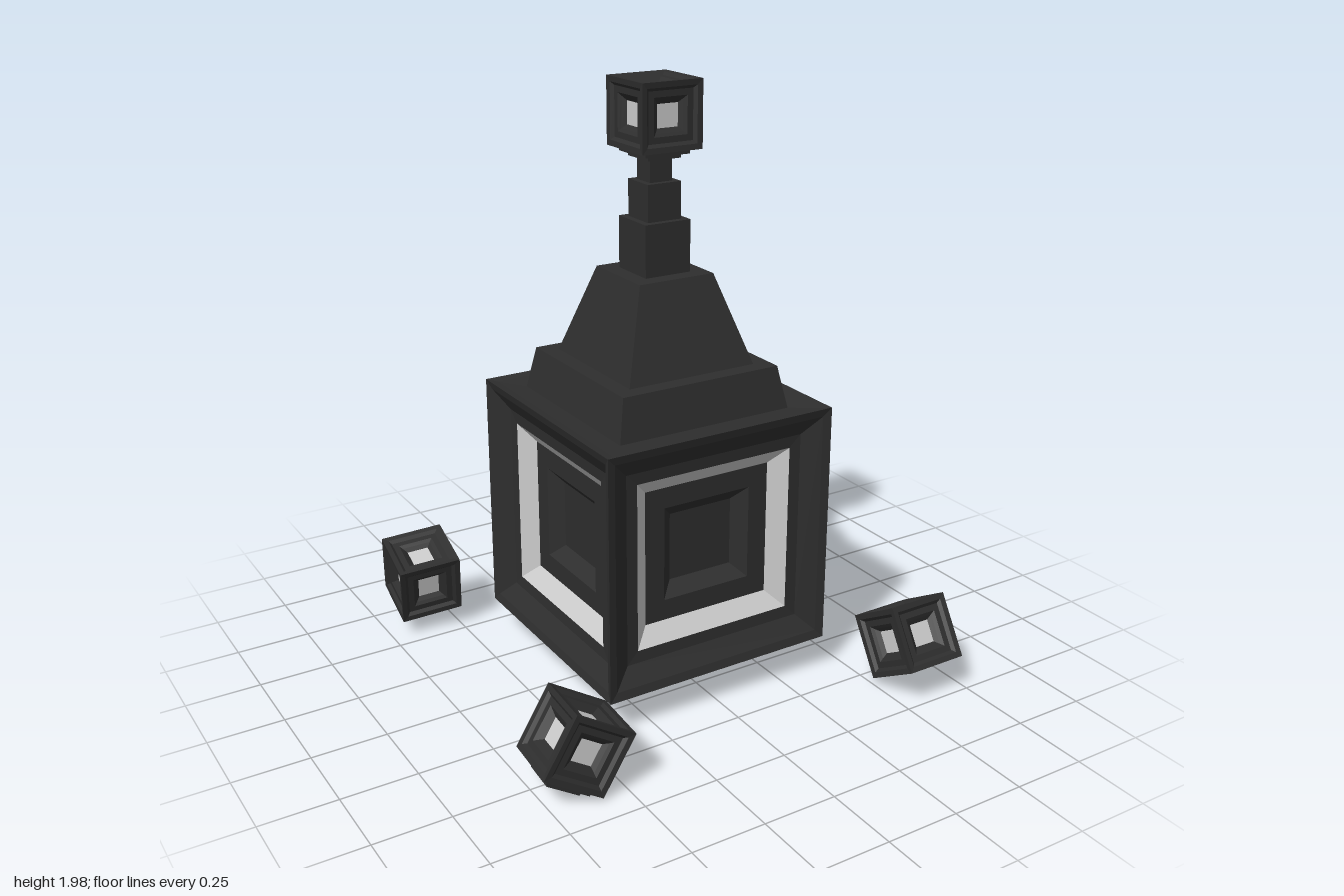
import * as THREE from 'three';

const dark = new THREE.MeshStandardMaterial({ color: 0x2e2e2e, flatShading: true });
const light = new THREE.MeshStandardMaterial({ color: 0xcccccc, flatShading: true });

// Square stack of [halfWidth, height] steps, outer/lower to inner/upper
function square(name, steps, material) {
  const points = steps.map(([h, y]) => new THREE.Vector2(h * Math.SQRT2, y));
  const geometry = new THREE.LatheGeometry(points, 4, Math.PI / 4).toNonIndexed();
  geometry.computeVertexNormals();
  const mesh = new THREE.Mesh(geometry, material);
  mesh.name = name;
  return mesh;
}

// Rotations that turn an upward panel to each side
const SIDES = [0, 1, 2, 3].map(i => [Math.PI / 2, 0, i * Math.PI / 2]);

function sidePanel(name, angles, layers) {
  const group = new THREE.Group();
  group.name = name;
  for (const [part, steps, material] of layers) group.add(square(part, steps, material));
  group.rotation.set(angles[0], angles[2], 0, 'YXZ');
  return group;
}

// Main cube face: stepped dark frame, bright sloping ring, sunken centre
const bodyLayers = [
  ['outerFrame', [[0.413, 0.413], [0.385, 0.405], [0.325, 0.368], [0.285, 0.365]], dark],
  ['brightRing', [[0.285, 0.365], [0.23, 0.32]], light],
  ['sunkenCentre', [[0.23, 0.32], [0.16, 0.32], [0.115, 0.28], [0, 0.28]], dark],
];

// Small cube face: stepped frame around a bright pane
const lampLayers = [
  ['lampFrame', [[0.108, 0.108], [0.09, 0.106], [0.08, 0.096], [0.06, 0.096], [0.05, 0.088], [0.037, 0.076]], dark],
  ['lampPane', [[0.037, 0.076], [0, 0.076]], light],
];

// Small cube with five lit faces and a stepped foot below
function lamp(name, position, degrees) {
  const group = new THREE.Group();
  group.name = name;
  SIDES.forEach((a, i) => group.add(sidePanel('lampSide' + i, a, lampLayers)));
  group.add(sidePanel('lampTop', [0, 0, 0], lampLayers));
  group.add(square('lampFoot', [[0, -0.138], [0.06, -0.138], [0.06, -0.124], [0.08, -0.124],
    [0.08, -0.108], [0.108, -0.108]], dark));
  group.position.set(...position);
  group.rotation.set(...degrees.map(THREE.MathUtils.degToRad), 'YXZ');
  return group;
}

export function createModel() {
  const model = new THREE.Group();
  model.name = 'steppedLantern';
  const zc = -0.016;

  // Main cube
  const body = new THREE.Group();
  body.name = 'mainCube';
  body.position.set(0, 0.557, zc);
  SIDES.forEach((a, i) => body.add(sidePanel('bodySide' + i, a, bodyLayers)));
  body.add(square('bodyTop', [[0.413, 0.413], [0.385, 0.408], [0.31, 0.4]], dark));
  body.add(square('bodyBase', [[0, -0.413], [0.413, -0.413]], dark));
  model.add(body);

  // Stepped tower
  const tower = square('tower', [
    [0.312, 0.955], [0.285, 1.097], [0.23, 1.097], [0.135, 1.39], [0.082, 1.39], [0.082, 1.56],
    [0.06, 1.56], [0.06, 1.68], [0.04, 1.68], [0.04, 1.76],
  ], dark);
  tower.position.z = zc;
  model.add(tower);

  // Top lamp and the four tumbled lamps around the base
  model.add(lamp('topLamp', [0, 1.891, zc], [0, 0, 0]));
  model.add(lamp('frontLeftLamp', [0.61, 0.187, 0.603], [59, 0, 0]));
  model.add(lamp('frontRightLamp', [-0.617, 0.17, 0.546], [-2, -5, -31]));
  model.add(lamp('backRightLamp', [-0.605, 0.21, -0.625], [13, -5, 4]));
  model.add(lamp('backLeftLamp', [0.6, 0.192, -0.612], [0, 16, -41]));
  return model;
}
